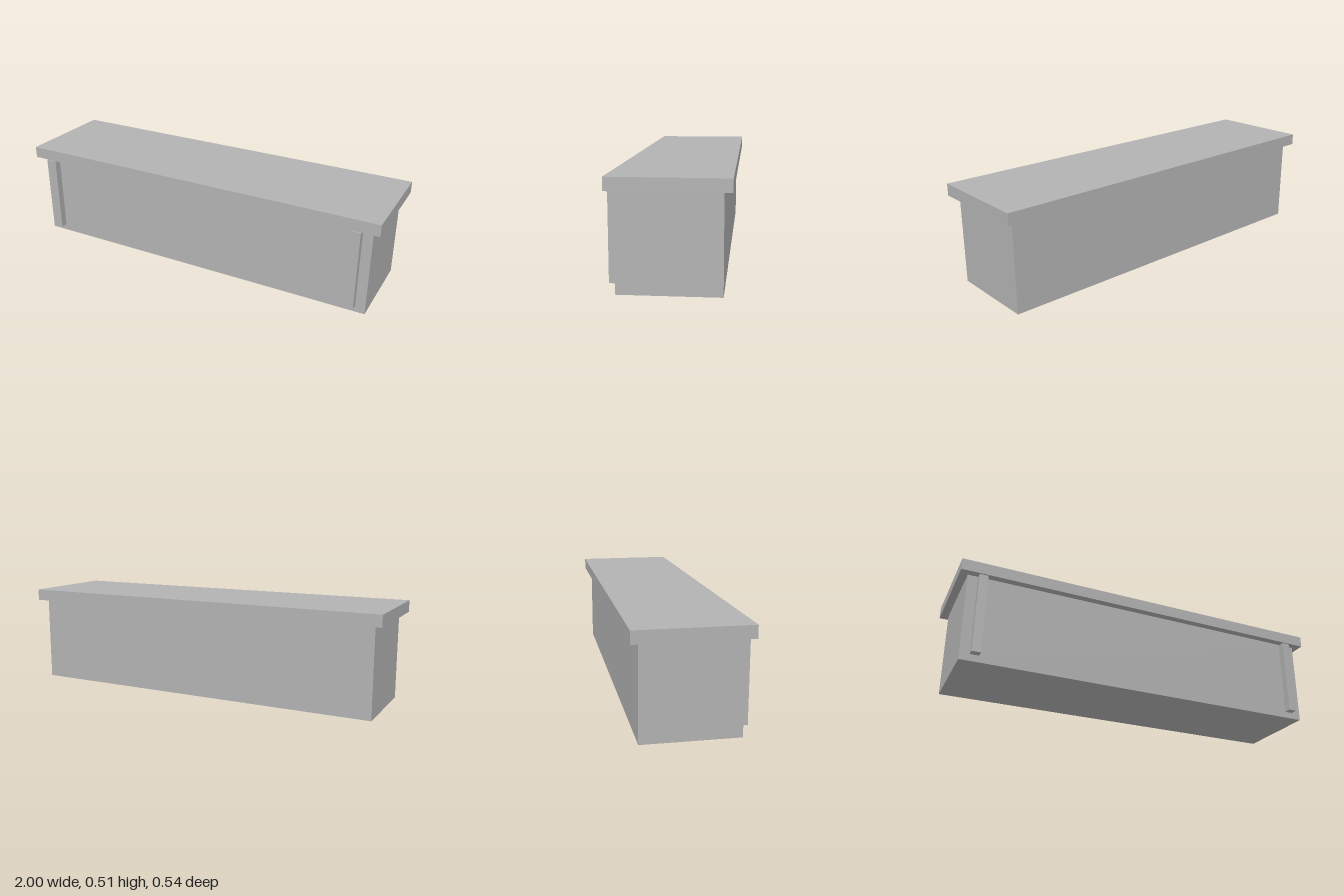
import * as THREE from 'three';

export function createModel() {
  const group = new THREE.Group();
  const grey = new THREE.MeshStandardMaterial({ color: 0xb2b2b2 });
  grey.name = 'grey';

  // Box given by its size and the position of its centre, standing on y = bottom
  function addBox(name, width, height, depth, x, bottom, z) {
    const mesh = new THREE.Mesh(new THREE.BoxGeometry(width, height, depth), grey);
    mesh.name = name;
    mesh.position.set(x, bottom + height / 2, z);
    group.add(mesh);
  }

  // Main block and overhanging slab
  addBox('body', 1.92, 0.453, 0.462, 0, 0, 0);
  addBox('top', 2, 0.06, 0.538, 0, 0.453, 0);

  // Upright strips on the front, one near each end
  for (const side of [-1, 1]) {
    addBox(side > 0 ? 'leftStrip' : 'rightStrip', 0.044, 0.414, 0.037, side * 0.888, 0.035, 0.2495);
  }
  return group;
}
